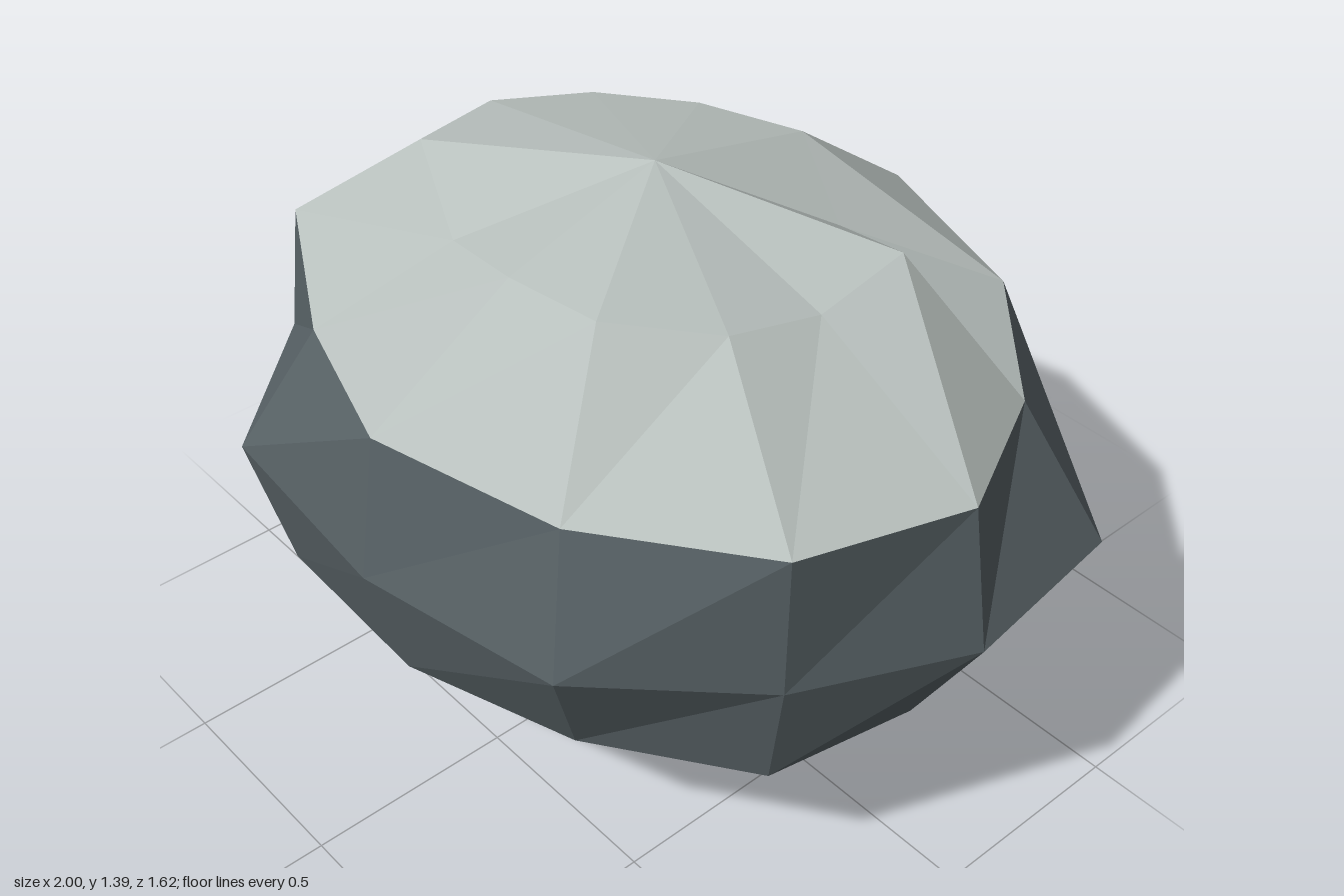
import * as THREE from 'three';

const SIDES = 12;
const DEPTH = 0.81;

// One faceted ring, starting at -x and running through +z:
// base radius, radial bulge at each corner, height at each corner
function ring(radius, bulge, height) {
  return bulge.map((k, i) => {
    const a = (i / SIDES) * Math.PI * 2;
    const r = radius * k;
    const y = Array.isArray(height) ? height[i] : height;
    return [-Math.cos(a) * r, y, Math.sin(a) * r * DEPTH];
  });
}

const pole = (y) => Array.from({ length: SIDES }, () => [0, y, 0]);

// Joins neighbouring rings (listed top to bottom) with flat triangles
function skin(name, rings, material) {
  const pos = [];
  for (let j = 0; j < rings.length - 1; j++) {
    for (let i = 0; i < SIDES; i++) {
      const n = (i + 1) % SIDES;
      const b = rings[j][i], a = rings[j][n];
      const c = rings[j + 1][i], d = rings[j + 1][n];
      if (a[0] !== b[0] || a[2] !== b[2]) pos.push(...b, ...c, ...a);
      if (c[0] !== d[0] || c[2] !== d[2]) pos.push(...a, ...c, ...d);
    }
  }
  const geometry = new THREE.BufferGeometry();
  geometry.setAttribute('position', new THREE.Float32BufferAttribute(pos, 3));
  geometry.computeVertexNormals();
  const mesh = new THREE.Mesh(geometry, material);
  mesh.name = name;
  return mesh;
}

export function createModel() {
  const paleStone = new THREE.MeshStandardMaterial({ color: 0xb8c0bd, flatShading: true });
  paleStone.name = 'pale stone';
  const darkStone = new THREE.MeshStandardMaterial({ color: 0x586266, flatShading: true });
  darkStone.name = 'dark stone';

  const crown = ring(0.5,
    [1.14, 1.18, 1.0, 0.97, 1.14, 1.07, 1.0, 1.15, 0.93, 1.08, 1.02, 1.08],
    [1.295, 1.31, 1.22, 1.27, 1.315, 1.29, 1.26, 1.305, 1.205, 1.295, 1.29, 1.28]);
  const shoulder = ring(0.866,
    [1.015, 1.11, 1.0, 1.077, 1.05, 1.1, 1.085, 1.01, 1.045, 1.1, 1.14, 0.97],
    [1.01, 1.04, 1.01, 1.045, 1.035, 1.05, 1.04, 1.015, 1.035, 1.05, 1.04, 1.03]);
  const belly = ring(1,
    [1, 1.01, 1.09, 1, 1.01, 0.95, 1, 1.09, 1.01, 1, 1.06, 1.15], 0.7);
  const lower = ring(0.866,
    [1.09, 1.13, 1.14, 1.03, 0.98, 1.02, 0.96, 0.95, 0.95, 0.955, 1.03, 1.05],
    [0.37, 0.36, 0.36, 0.385, 0.4, 0.4, 0.4, 0.4, 0.39, 0.4, 0.38, 0.37]);
  const base = ring(0.5,
    [1.16, 1.08, 1.03, 1.03, 1.05, 1.04, 1.04, 1.04, 1.03, 0.94, 1.03, 1.08],
    [0.1, 0.11, 0.14, 0.12, 0.115, 0.13, 0.15, 0.13, 0.17, 0.115, 0.13, 0.11]);

  const rock = new THREE.Group();
  rock.name = 'rock';
  // Pale weathered cap above the shoulder, dark stone below it
  rock.add(skin('rockCap', [pole(1.39), crown, shoulder], paleStone));
  rock.add(skin('rockBody', [shoulder, belly, lower, base, pole(0)], darkStone));
  return rock;
}
